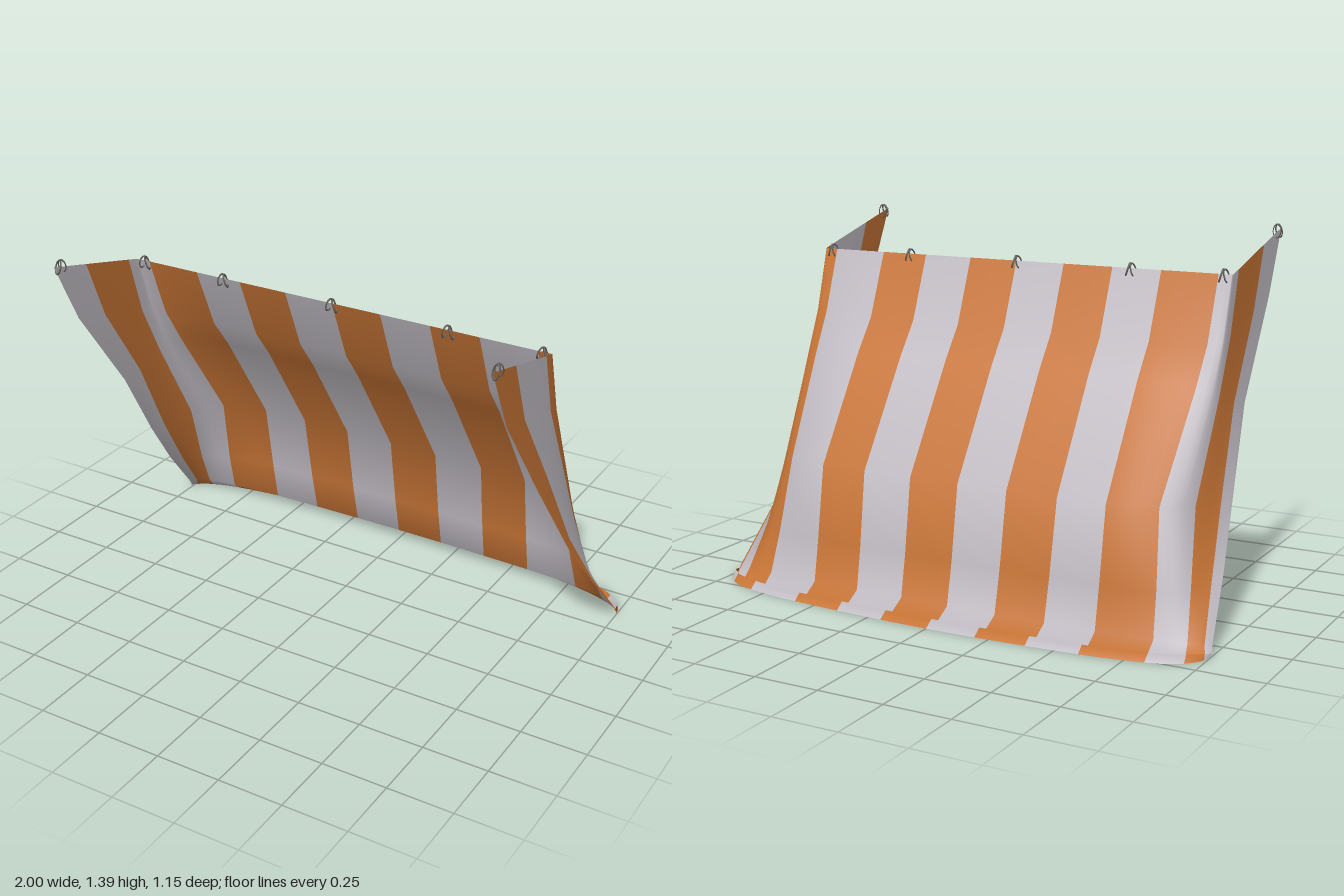
import * as THREE from 'three';

const orange = new THREE.MeshStandardMaterial({ color: 0xc87536, side: THREE.DoubleSide });
orange.name = 'orange cloth';
const white = new THREE.MeshStandardMaterial({ color: 0xc2bdc4, side: THREE.DoubleSide });
white.name = 'pale grey cloth';
const cord = new THREE.MeshStandardMaterial({ color: 0x66615c });
cord.name = 'grey cord';

// Distances across half the cloth: centre, bend start, corner, flap, front edge
const KNOTS = [0, 0.61, 0.9, 1.2, 1.36];

// One cross-section: the back panel is level, then the corner and flap turn forward
function section(y, centreZ, bendZ, corner, flap, edge) {
  return [[0, y, centreZ], [0.6, y, bendZ], corner, flap, edge];
}

// Cross-sections from the top edge down to the rolled hem
const rows = [
  section(1.245, 0.1, 0.1, [0.863, 1.245, 0.1], [0.868, 1.323, 0.4], [0.87, 1.368, 0.575]),
  section(1.0, 0, 0, [0.862, 1.01, 0.03], [0.869, 1.09, 0.31], [0.872, 1.13, 0.46]),
  section(0.88, -0.09, -0.09, [0.858, 0.84, -0.05], [0.878, 0.78, 0.11], [0.885, 0.77, 0.2]),
  section(0.48, -0.35, -0.345, [0.83, 0.48, -0.25], [0.905, 0.46, -0.06], [0.925, 0.46, 0]),
  section(0.2, -0.395, -0.39, [0.86, 0.2, -0.33], [0.94, 0.22, -0.22], [0.962, 0.24, -0.165]),
  section(0.04, -0.43, -0.42, [0.88, 0.04, -0.395], [0.975, 0.04, -0.36], [0.995, 0.035, -0.34]),
  section(0.005, -0.495, -0.475, [0.88, 0.005, -0.43], [0.985, 0.005, -0.38], [1, 0.01, -0.355]),
  section(0.025, -0.54, -0.52, [0.9, 0.025, -0.46], [0.988, 0.02, -0.39], [1, 0.015, -0.356]),
  section(0, -0.578, -0.55, [0.9, 0, -0.49], [0.99, 0, -0.4], [1, 0.005, -0.36]),
];

// Smooth interpolation through a cross-section that never overshoots its points
function sample(row, u, axis) {
  const slope = (i) => (row[i + 1][axis] - row[i][axis]) / (KNOTS[i + 1] - KNOTS[i]);
  const last = KNOTS.length - 1;
  const tangent = (i) => {
    if (i === 0) return axis === 0 ? slope(0) : 0;
    if (i === last) return slope(last - 1);
    const a = slope(i - 1), b = slope(i);
    return a * b <= 0 ? 0 : (2 * a * b) / (a + b);
  };
  let i = 0;
  while (i < last - 1 && u > KNOTS[i + 1]) i++;
  const h = KNOTS[i + 1] - KNOTS[i];
  const t = (u - KNOTS[i]) / h, t2 = t * t, t3 = t2 * t;
  return (2 * t3 - 3 * t2 + 1) * row[i][axis] + (t3 - 2 * t2 + t) * h * tangent(i)
    + (3 * t2 - 2 * t3) * row[i + 1][axis] + (t3 - t2) * h * tangent(i + 1);
}

// Striped sheet: five columns per stripe, colours alternating across the width
function makeCloth() {
  const half = 34, step = 0.04, cols = half * 2 + 1;
  const positions = [];
  for (const row of rows) {
    for (let c = -half; c <= half; c++) {
      const u = Math.abs(c) * step;
      positions.push(Math.sign(c) * sample(row, u, 0), sample(row, u, 1), sample(row, u, 2));
    }
  }
  const faces = [[], []];
  for (let r = 0; r < rows.length - 1; r++) {
    for (let c = 0; c < cols - 1; c++) {
      const stripe = Math.abs(Math.floor((c - half) / 5)) % 2;
      const a = r * cols + c, b = a + cols;
      faces[stripe].push(a, b, a + 1, b, b + 1, a + 1);
    }
  }
  const geometry = new THREE.BufferGeometry();
  geometry.setAttribute('position', new THREE.Float32BufferAttribute(positions, 3));
  geometry.setIndex([...faces[0], ...faces[1]]);
  geometry.addGroup(0, faces[0].length, 0);
  geometry.addGroup(faces[0].length, faces[1].length, 1);
  geometry.computeVertexNormals();
  const mesh = new THREE.Mesh(geometry, [orange, white]);
  mesh.name = 'stripedCloth';
  return mesh;
}

// Cord tie: two thin loops crossing over the cloth edge
function makeTie(x, y, z, turn) {
  const tie = new THREE.Group();
  tie.name = 'cordTie';
  const loop = new THREE.TorusGeometry(0.026, 0.0035, 5, 14);
  loop.scale(0.55, 1, 1);
  loop.rotateY(Math.PI / 2);
  for (const side of [-1, 1]) {
    const mesh = new THREE.Mesh(loop, cord);
    mesh.name = 'cordLoop';
    mesh.position.x = side * 0.011;
    mesh.rotation.set(0, side * 0.3, side * 0.3);
    tie.add(mesh);
  }
  tie.position.set(x, y, z);
  tie.rotation.y = turn;
  return tie;
}

export function createModel() {
  const model = new THREE.Group();
  model.name = 'stripedCanopy';
  model.add(makeCloth());
  // Ties along the back edge
  for (const x of [-0.83, -0.47, 0, 0.47, 0.83]) model.add(makeTie(x, 1.238, 0.1, 0));
  // Ties at the front ends of the side flaps
  for (const side of [-1, 1]) model.add(makeTie(side * 0.87, 1.36, 0.54, Math.PI / 2));
  return model;
}
